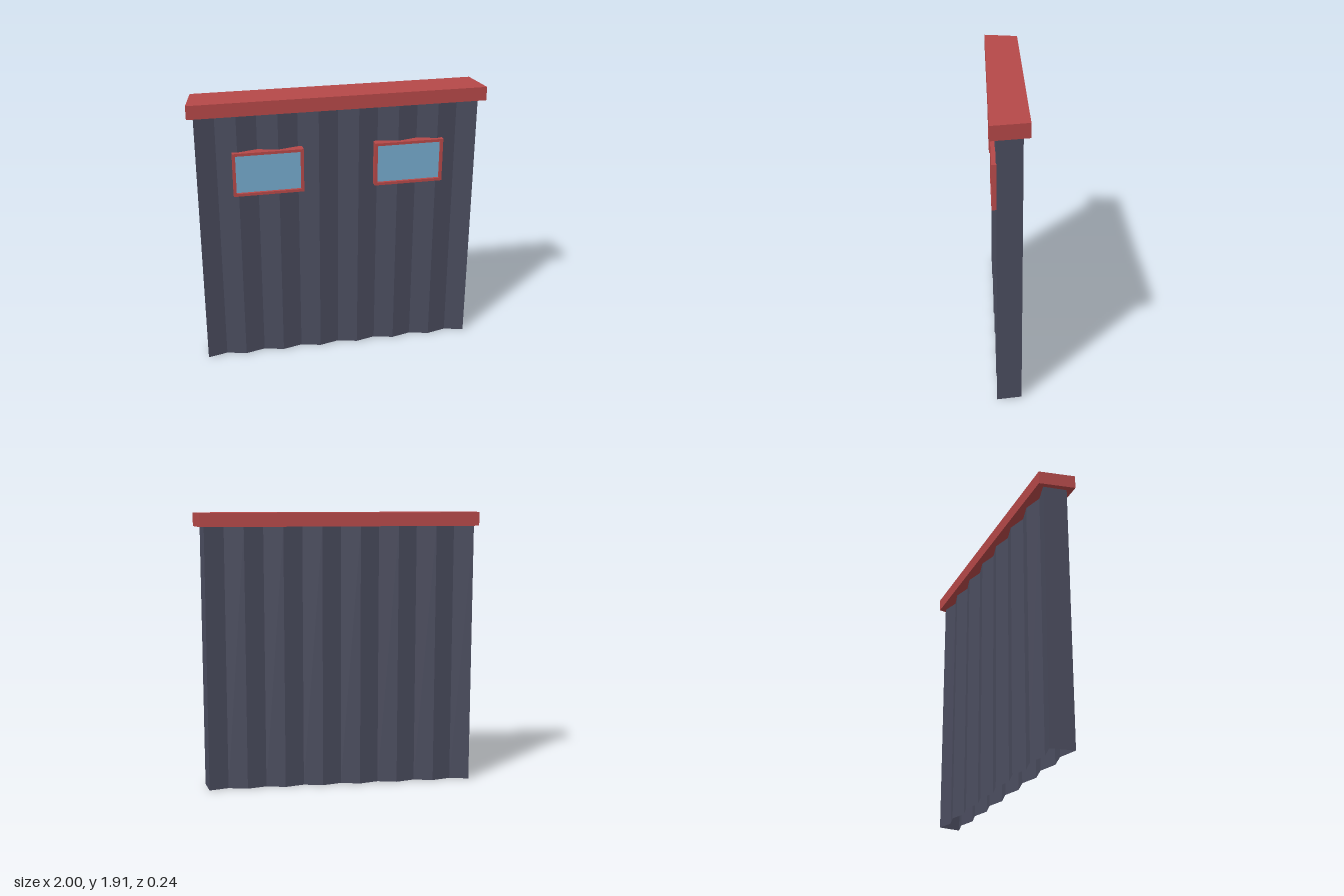
import * as THREE from 'three';

const red = new THREE.MeshStandardMaterial({ color: 0xb54848 });
const blue = new THREE.MeshStandardMaterial({ color: 0x74a9cc });
const slate = new THREE.MeshStandardMaterial({ color: 0x4a4c5e, side: THREE.DoubleSide, flatShading: true });

const WALL_TOP = 1.82;
const FOLDS = 14; // zigzag segments on each long face

function addMesh(parent, name, geometry, material) {
  const mesh = new THREE.Mesh(geometry, material);
  mesh.name = name;
  parent.add(mesh);
  return mesh;
}

// Corrugated outline: zigzag front and slightly narrower zigzag back
function wallOutline() {
  const points = [];
  for (const [halfWidth, side] of [[0.955, 1], [0.93, -1]]) {
    for (let i = 0; i <= FOLDS; i++) {
      const x = side * halfWidth * (-1 + (2 * i) / FOLDS);
      points.push([x, side * (i % 2 ? 0.045 : 0.08)]);
    }
  }
  return points;
}

// Upright shell, open below, closed above by the cap
function wallGeometry() {
  const outline = wallOutline();
  const positions = [];
  outline.forEach(([x0, z0], i) => {
    const [x1, z1] = outline[(i + 1) % outline.length];
    positions.push(x0, 0, z0, x1, 0, z1, x1, WALL_TOP, z1);
    positions.push(x0, 0, z0, x1, WALL_TOP, z1, x0, WALL_TOP, z0);
  });
  const geometry = new THREE.BufferGeometry();
  geometry.setAttribute('position', new THREE.Float32BufferAttribute(positions, 3));
  geometry.computeVertexNormals();
  return geometry;
}

// Slab with a trapezoid plan, wider at the front
function capGeometry() {
  const shape = new THREE.Shape([
    new THREE.Vector2(-1, -0.122),
    new THREE.Vector2(1, -0.122),
    new THREE.Vector2(0.955, 0.122),
    new THREE.Vector2(-0.955, 0.122),
  ]);
  const geometry = new THREE.ExtrudeGeometry(shape, { depth: 0.093, bevelEnabled: false });
  geometry.rotateX(-Math.PI / 2);
  geometry.translate(0, WALL_TOP, 0);
  return geometry;
}

function rectangle(PathType, w, h) {
  return new PathType([
    new THREE.Vector2(-w / 2, -h / 2),
    new THREE.Vector2(w / 2, -h / 2),
    new THREE.Vector2(w / 2, h / 2),
    new THREE.Vector2(-w / 2, h / 2),
  ]);
}

// Framed pane; the frame's back is sunk into the folds of the wall
function createWindow(name) {
  const group = new THREE.Group();
  group.name = name;
  const shape = rectangle(THREE.Shape, 0.475, 0.305);
  shape.holes.push(rectangle(THREE.Path, 0.437, 0.267));
  const frame = new THREE.ExtrudeGeometry(shape, { depth: 0.06, bevelEnabled: false });
  addMesh(group, 'windowFrame', frame, red).position.z = 0.046;
  const pane = new THREE.BoxGeometry(0.44, 0.27, 0.035);
  addMesh(group, 'windowPane', pane, blue).position.z = 0.07;
  return group;
}

export function createModel() {
  const model = new THREE.Group();
  model.name = 'corrugatedWall';
  addMesh(model, 'wallPanel', wallGeometry(), slate);
  addMesh(model, 'wallCap', capGeometry(), red);
  for (const [name, side] of [['leftWindow', 1], ['rightWindow', -1]]) {
    const window = createWindow(name);
    window.position.set(side * 0.481, 1.407, 0);
    model.add(window);
  }
  return model;
}
